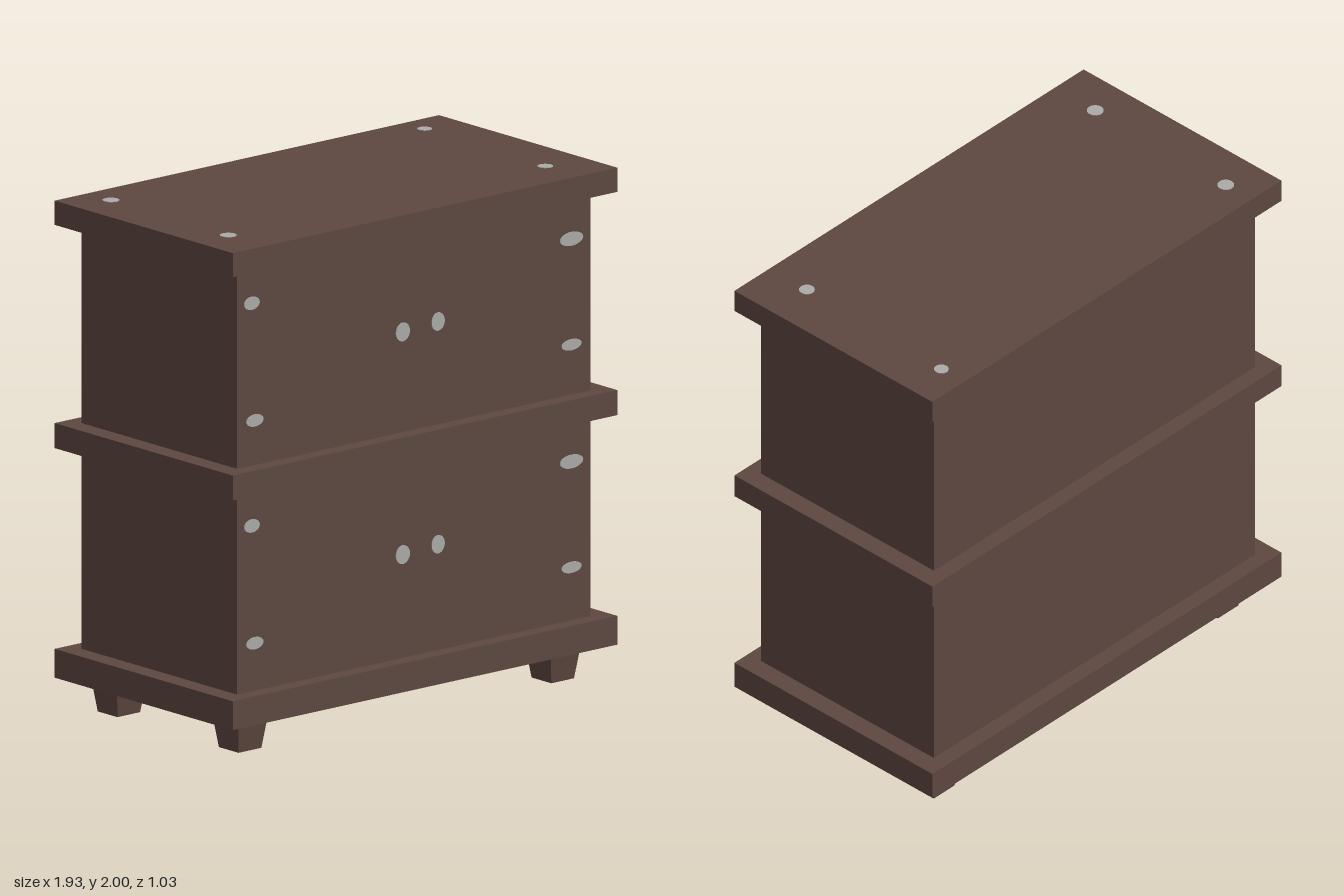
import * as THREE from 'three';

export function createModel() {
  const model = new THREE.Group();
  model.name = 'cabinet';
  const wood = new THREE.MeshStandardMaterial({ color: 0x5d4740 });
  wood.name = 'dark brown wood';
  const metal = new THREE.MeshStandardMaterial({ color: 0xaaaaa8 });
  metal.name = 'light grey metal';

  const add = (name, geometry, material, x, y, z) => {
    const mesh = new THREE.Mesh(geometry, material);
    mesh.name = name;
    mesh.position.set(x, y, z);
    model.add(mesh);
    return mesh;
  };
  const box = (name, width, depth, y0, y1) =>
    add(name, new THREE.BoxGeometry(width, y1 - y0, depth), wood, 0, (y0 + y1) / 2, 0);

  // Overhanging boards and the two cupboards between them
  box('baseBoard', 1.93, 1.03, 0.13, 0.243);
  box('lowerCupboard', 1.775, 0.9, 0.243, 1.03);
  box('middleBoard', 1.93, 1.03, 1.03, 1.128);
  box('upperCupboard', 1.775, 0.9, 1.128, 1.905);
  box('topBoard', 1.93, 1.03, 1.905, 2);

  // Square feet, narrower at the floor
  const footGeometry = new THREE.CylinderGeometry(0.075 * Math.SQRT2, 0.057 * Math.SQRT2, 0.13, 4)
    .rotateY(Math.PI / 4).toNonIndexed();
  footGeometry.computeVertexNormals();
  for (const x of [-0.79, 0.78])
    for (const z of [-0.345, 0.355]) add('foot', footGeometry, wood, x, 0.065, z);

  // Thin oval plates: hinges and knobs, repeated on both cupboards
  const disc = new THREE.CylinderGeometry(1, 1, 0.006, 24);
  const frontDisc = disc.clone().rotateX(Math.PI / 2);
  const fittings = [
    ['hinge', -0.815, 0.892, 0.039, 0.026],
    ['hinge', -0.8, 0.43, 0.043, 0.024],
    ['hinge', 0.79, 0.866, 0.058, 0.027],
    ['hinge', 0.79, 0.451, 0.05, 0.022],
    ['knob', -0.057, 0.648, 0.035, 0.037],
    ['knob', 0.12, 0.658, 0.033, 0.036],
  ];
  for (const lift of [0, 0.873])
    for (const [name, x, y, rx, ry] of fittings)
      add(name, frontDisc, metal, x, y + lift, 0.45).scale.set(rx, ry, 1);

  // Round studs in the corners of the top
  for (const [x, z, r] of [[-0.8, -0.38, 0.032], [0.79, -0.397, 0.028], [-0.805, 0.304, 0.032], [0.772, 0.32, 0.03]])
    add('topStud', disc, metal, x, 1.999, z).scale.set(r, 1, r);

  return model;
}
